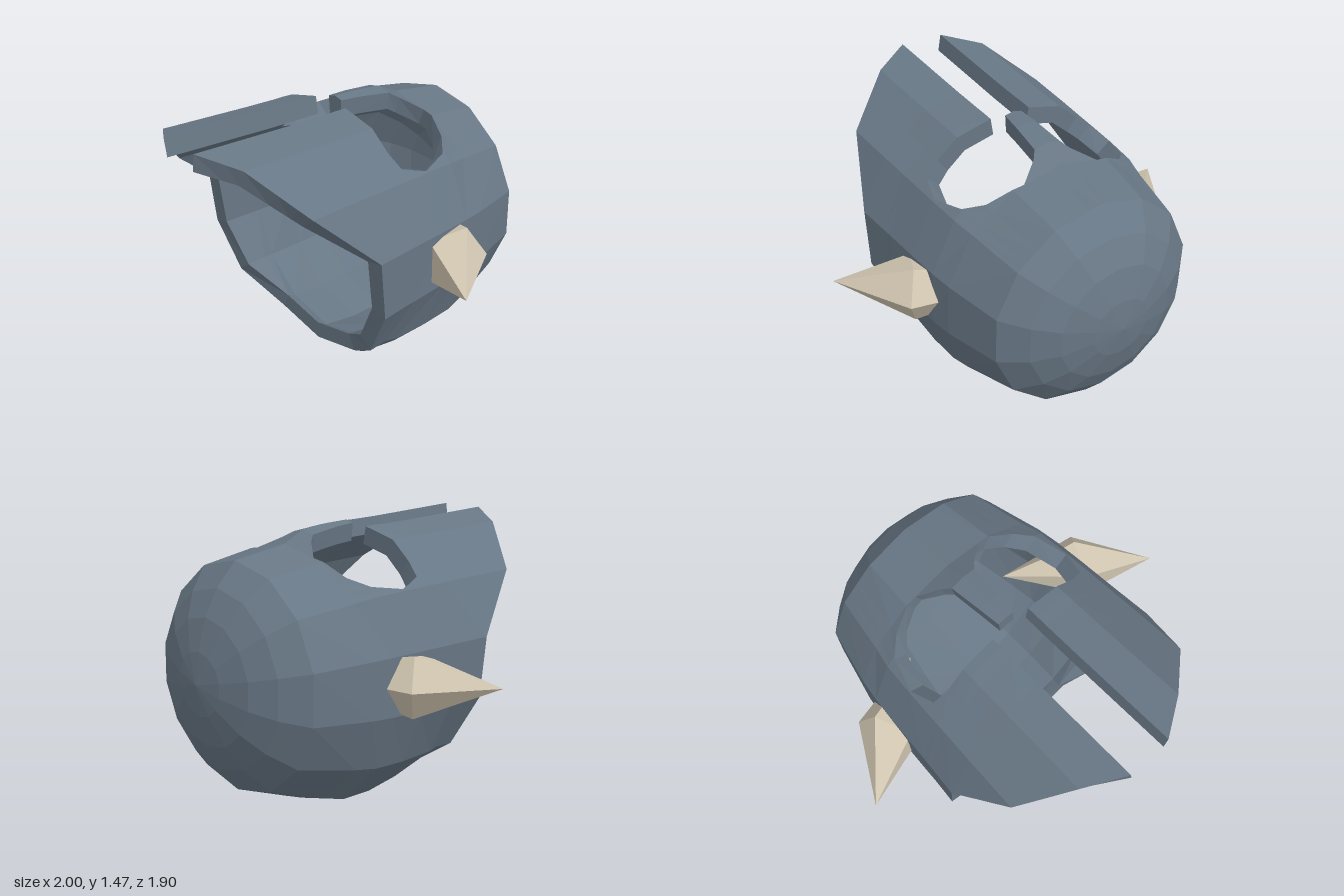
import * as THREE from 'three';
import { ConvexGeometry } from 'three/addons/geometries/ConvexGeometry.js';

const CENTRE_Y = 0.75, THICK = 0.095, SIDES = 14;
const STEP = 360 / SIDES;

// Shell stations along the helmet axis: z, then radius at crown side, cheeks and nape
const RINGS = [
  [-0.955, 0, 0, 0], [-0.935, 0.16, 0.16, 0.16], [-0.89, 0.32, 0.32, 0.32],
  [-0.82, 0.45, 0.45, 0.455], [-0.71, 0.57, 0.57, 0.59], [-0.4, 0.62, 0.645, 0.71],
  [-0.28, 0.68, 0.66, 0.755], [-0.1, 0.70, 0.675, 0.755], [0.11, 0.71, 0.69, 0.72],
  [0.17, 0.71, 0.695, 0.68], [0.35, 0.715, 0.71, 0.68], [0.95, 0.745, 0.74, 0.68],
];

// Edge curves, as [angle from the top in degrees, z]
const BROW = [[0, -0.28], [6.5, -0.28], [9.5, -0.32], [20, -0.4], [25.7, -0.395], [38, -0.35], [46, -0.27], [50.5, -0.1]];
const EYE_BOTTOM = [[9.5, 0.05], [38, 0.05], [46, 0.03], [50.5, -0.1]];
const FRONT = [[9.5, 0.95], [25.7, 0.83], [51.4, 0.65], [77, 0.35], [103, 0.32], [128.6, 0.28], [154, 0.17], [180, 0.17]];

// Piecewise linear lookup of column c in a table sorted by its first column
function lookup(table, x, c = 1) {
  if (x <= table[0][0]) return table[0][c];
  for (let i = 1; i < table.length; i++) {
    const p = table[i - 1], q = table[i];
    if (x <= q[0]) return p[c] + (q[c] - p[c]) * (x - p[0]) / (q[0] - p[0]);
  }
  return table[table.length - 1][c];
}

// One corner of the faceted shell
function corner(deg, z, inner) {
  const a = THREE.MathUtils.degToRad(deg), c = Math.cos(a);
  const side = lookup(RINGS, z, 2), end = lookup(RINGS, z, c > 0 ? 1 : 3);
  let r = side + (end - side) * c * c;
  if (inner) {
    const nr = z < -0.5 ? Math.min(1, r / 0.75) : 1;
    r = Math.max(0, r - THICK * nr);
    z += THICK * Math.sqrt(1 - nr * nr);
  }
  return new THREE.Vector3(Math.sin(a) * r, c * r, z);
}

// Point on the shell, lying on the flat side between two corners
function shellPoint(deg, z, inner) {
  const k = Math.floor(deg / STEP + 1e-6), f = deg / STEP - k;
  return corner(k * STEP, z, inner).lerp(corner((k + 1) * STEP, z, inner), f);
}

// A thick strip between two boundaries { a, a1, z0, z1 }, with walls on its open edges
function addStrip(out, left, right, walls, mirror) {
  const quad = (p, q, r, s) => {
    const tris = mirror < 0 ? [p, r, q, p, s, r] : [p, q, r, p, r, s];
    for (const v of tris) out.push(v.x * mirror, v.y, v.z);
  };
  const line = (b, inner) => {
    const stops = [b.z0, ...RINGS.map((r) => THREE.MathUtils.clamp(r[0], b.z0, b.z1)), b.z1];
    return stops.map((z) => {
      const t = (z - b.z0) / (b.z1 - b.z0 || 1);
      return shellPoint(b.a + ((b.a1 ?? b.a) - b.a) * t, z, inner);
    });
  };
  const L = line(left, false), R = line(right, false);
  const li = line(left, true), ri = line(right, true);
  const n = L.length - 1;
  for (let i = 0; i < n; i++) {
    quad(L[i], L[i + 1], R[i + 1], R[i]);
    quad(li[i], ri[i], ri[i + 1], li[i + 1]);
    if (walls.includes('left')) quad(L[i], li[i], li[i + 1], L[i + 1]);
    if (walls.includes('right')) quad(R[i], R[i + 1], ri[i + 1], ri[i]);
  }
  if (walls.includes('end')) quad(L[n], li[n], ri[n], R[n]);
  if (walls.includes('start')) quad(L[0], R[0], ri[0], li[0]);
}

function toMesh(name, positions, material) {
  const g = new THREE.BufferGeometry();
  g.setAttribute('position', new THREE.Float32BufferAttribute(positions, 3));
  g.computeVertexNormals();
  const mesh = new THREE.Mesh(g, material);
  mesh.name = name;
  return mesh;
}

export function createModel() {
  const steel = new THREE.MeshStandardMaterial({ color: 0x687785, flatShading: true });
  steel.name = 'slate steel';
  const bone = new THREE.MeshStandardMaterial({ color: 0xd0c5b0, flatShading: true });
  bone.name = 'bone';

  const body = new THREE.Group();
  body.name = 'helmet';
  const skull = [], cheeks = [], nose = [];
  const back = RINGS[0][0];
  const faceAngles = [0, 6.5, 9.5, 20, STEP, 38, 46, 50.5];
  const sideAngles = [50.5];
  for (let k = 2; k <= SIDES / 2; k++) sideAngles.push(k * STEP);

  for (const m of [1, -1]) {
    for (let i = 0; i + 1 < faceAngles.length; i++) {
      const pair = [faceAngles[i], faceAngles[i + 1]];
      // Dome above the eyes
      const [bl, br] = pair.map((a) => ({ a, z0: back, z1: lookup(BROW, a) }));
      addStrip(skull, bl, br, i === 0 ? [] : ['end'], m);
      // Cheek guard below the eyes, open along the centre slit
      if (i >= 2) {
        const [cl, cr] = pair.map((a) => ({ a, z0: lookup(EYE_BOTTOM, a), z1: lookup(FRONT, a) }));
        addStrip(cheeks, cl, cr, i === 2 ? ['start', 'end', 'left'] : ['start', 'end'], m);
      }
    }
    // Sides and nape
    for (let i = 0; i + 1 < sideAngles.length; i++) {
      const [l, r] = [sideAngles[i], sideAngles[i + 1]].map((a) => ({ a, z0: back, z1: lookup(FRONT, a) }));
      addStrip(skull, l, r, ['end'], m);
    }
    // Tapering nose guard
    addStrip(nose, { a: 0, z0: -0.28, z1: 0.02 }, { a: 6.5, a1: 4, z0: -0.28, z1: 0.02 }, ['right', 'end'], m);
  }
  body.add(toMesh('skullShell', skull, steel), toMesh('cheekGuards', cheeks, steel), toMesh('noseGuard', nose, steel));

  // Side horns, each piercing the shell and ending in a point on both sides
  for (const m of [1, -1]) {
    const pts = [[1, 0, 0.1], [0.775, 0, -0.295], [0.34, 0, -0.38]];
    for (const s of [1, -1]) pts.push([0.71, 0.155 * s, -0.21], [0.63, 0.11 * s, -0.03], [0.57, 0.125 * s, -0.25]);
    const horn = new THREE.Mesh(new ConvexGeometry(pts.map(([x, y, z]) => new THREE.Vector3(x * m, y, z))), bone);
    horn.name = m > 0 ? 'leftHorn' : 'rightHorn';
    body.add(horn);
  }

  // The helmet lies on its back with a slight roll
  body.position.y = CENTRE_Y + 0.005;
  body.rotation.z = 0.02;
  const model = new THREE.Group();
  model.name = 'hornedHelmet';
  model.add(body);
  return model;
}
